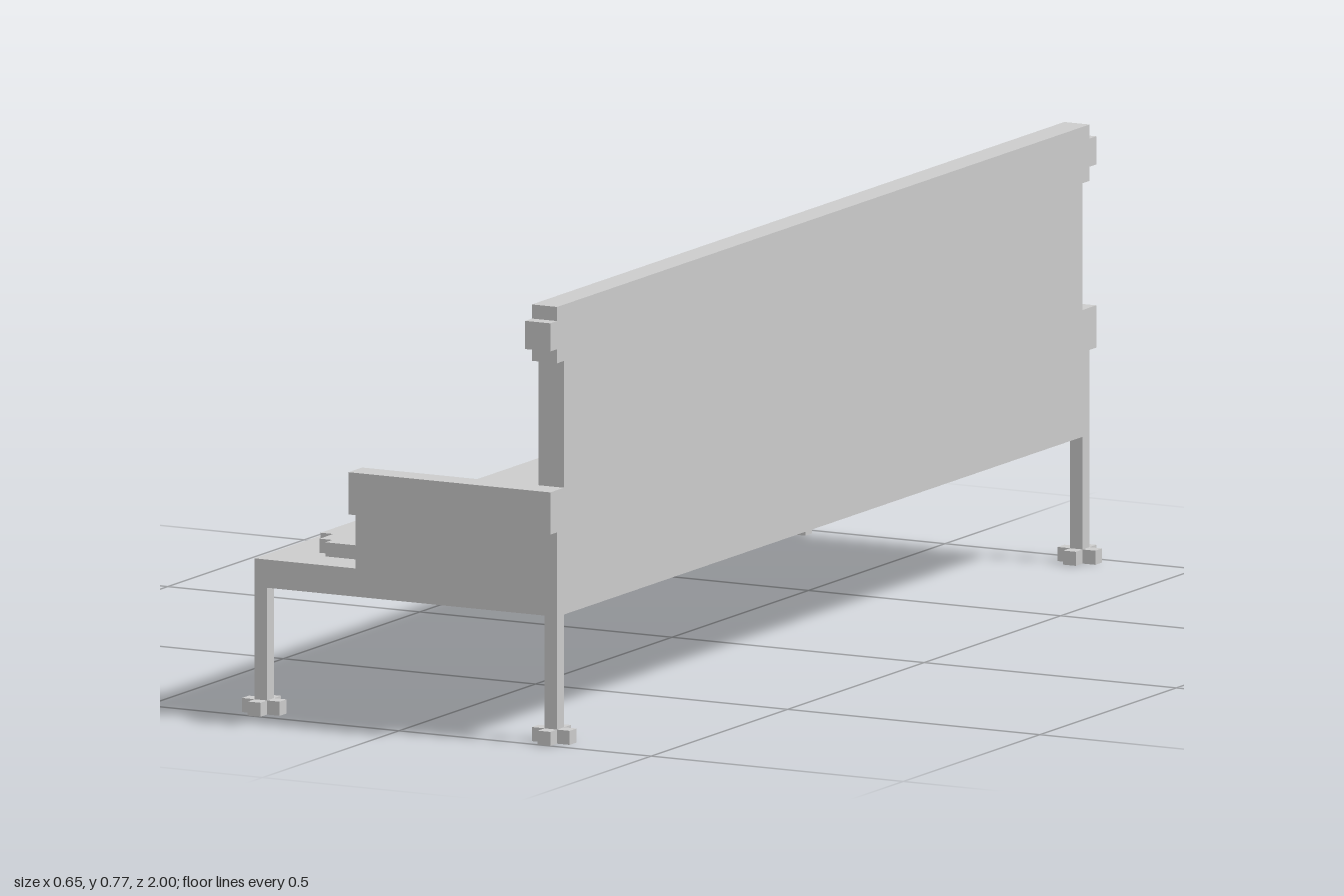
import * as THREE from 'three';

const material = new THREE.MeshStandardMaterial({ color: 0xcccccc, flatShading: true });

// Box given by its extents on each axis
function block(parent, name, [x0, x1], [y0, y1], [z0, z1]) {
  const mesh = new THREE.Mesh(new THREE.BoxGeometry(x1 - x0, y1 - y0, z1 - z0), material);
  mesh.position.set((x0 + x1) / 2, (y0 + y1) / 2, (z0 + z1) / 2);
  mesh.name = name;
  parent.add(mesh);
}

// Extruded outline drawn in (u, v)
function slab(points, depth) {
  const shape = new THREE.Shape(points.map(([u, v]) => new THREE.Vector2(u, v)));
  return new THREE.ExtrudeGeometry(shape, { depth, bevelEnabled: false });
}

// Completes a half outline by mirroring it in u
const mirrored = (half) => [...half, ...half.map(([u, v]) => [-u, v]).reverse()];

export function createModel() {
  const sofa = new THREE.Group();
  sofa.name = 'sofa';

  block(sofa, 'seatFrame', [-0.3, 0.3], [0.225, 0.275], [-0.975, 0.975]);

  // Seat cushion with stepped front corners
  const cushion = new THREE.Mesh(slab(mirrored([
    [0.9, 0.25], [0.9, -0.2], [0.875, -0.2], [0.875, -0.225], [0.825, -0.225], [0.825, -0.25],
  ]), 0.025), material);
  cushion.name = 'seatCushion';
  cushion.rotation.set(-Math.PI / 2, 0, -Math.PI / 2);
  // outline u runs along z, outline v along x, thickness along y
  cushion.matrixAutoUpdate = true;
  cushion.geometry.applyMatrix4(new THREE.Matrix4().set(
    0, 1, 0, 0,
    0, 0, 1, 0.275,
    1, 0, 0, 0,
    0, 0, 0, 1));
  cushion.rotation.set(0, 0, 0);
  sofa.add(cushion);

  // Backrest with stepped scroll ends along its top rail
  const back = new THREE.Mesh(slab(mirrored([
    [0.95, 0.275], [0.95, 0.675], [0.975, 0.675], [0.975, 0.7], [1, 0.7],
    [1, 0.75], [0.975, 0.75], [0.975, 0.775],
  ]), 0.05), material);
  back.name = 'backrest';
  back.rotation.y = Math.PI / 2;
  back.position.x = 0.25;
  sofa.add(back);
  block(sofa, 'backPanel', [0.225, 0.25], [0.3, 0.725], [-0.875, 0.875]);

  for (const side of [1, -1]) {
    const span = (a, b) => (side > 0 ? [a, b] : [-b, -a]);

    // Arm with an overhanging rest
    const arm = new THREE.Group();
    arm.name = side > 0 ? 'leftArm' : 'rightArm';
    block(arm, 'armPanel', [-0.1, 0.3], [0.275, 0.375], span(0.925, 0.975));
    block(arm, 'armRest', [-0.1, 0.3], [0.375, 0.45], span(0.95, 1));
    sofa.add(arm);

    // Two-layer pillow
    const pillow = new THREE.Group();
    pillow.name = 'pillow';
    block(pillow, 'pillowBack', [0.2, 0.225], [0.3, 0.575], span(0.475, 0.825));
    block(pillow, 'pillowFront', [0.175, 0.2], [0.3, 0.55], span(0.5, 0.8));
    sofa.add(pillow);

    // Thin legs on cross-shaped feet
    for (const x of [-0.3, 0.275]) {
      const leg = new THREE.Group();
      leg.name = x < 0 ? 'frontLeg' : 'backLeg';
      block(leg, 'post', [x, x + 0.025], [0.025, 0.225], span(0.95, 0.975));
      const cross = [
        [1, 3], [1, 1], [3, 1], [3, -1], [1, -1], [1, -3],
        [-1, -3], [-1, -1], [-3, -1], [-3, 1], [-1, 1], [-1, 3],
      ].map(([u, v]) => [u * 0.0125, v * 0.0125]);
      const foot = new THREE.Mesh(slab(cross, 0.025), material);
      foot.name = 'foot';
      foot.rotation.x = -Math.PI / 2;
      foot.position.set(x + 0.0125, 0, side * 0.9625);
      leg.add(foot);
      sofa.add(leg);
    }
  }
  return sofa;
}
